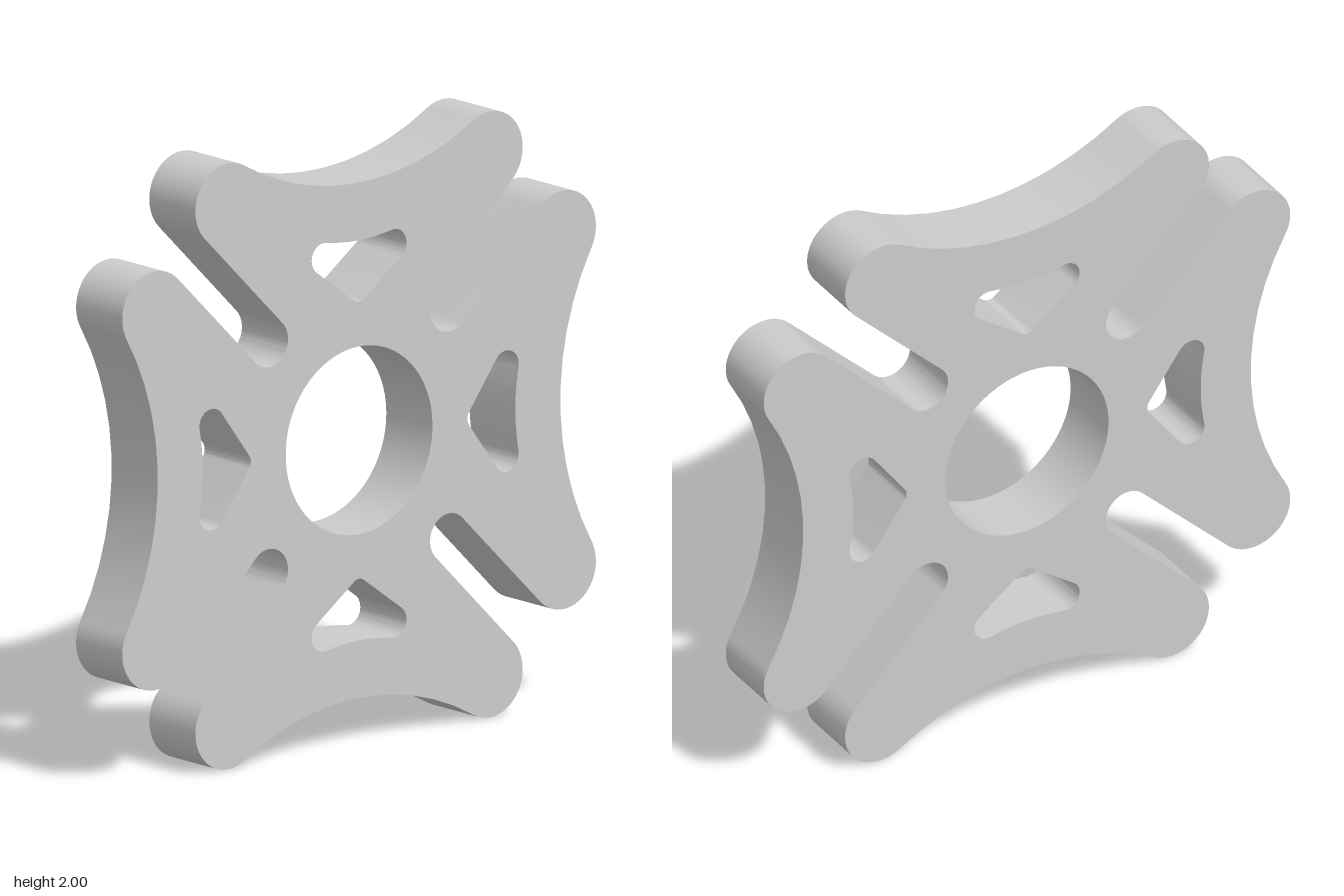
import * as THREE from 'three';
import { toCreasedNormals } from 'three/addons/utils/BufferGeometryUtils.js';

const DEPTH = 0.228;
const Q = Math.PI / 4;

// Joins arcs [cx, cy, radius, startAngle, endAngle] into one list of points, each turned by `turn`.
function arcPath(arcs, turn, points = []) {
  for (const [cx, cy, r, a0, a1] of arcs) {
    const n = Math.max(6, Math.ceil(Math.abs(a1 - a0) / 0.1));
    for (let i = 0; i <= n; i++) {
      const a = a0 + (a1 - a0) * i / n;
      const p = new THREE.Vector2(cx + r * Math.cos(a), cy + r * Math.sin(a))
        .rotateAround(new THREE.Vector2(), turn);
      const last = points[points.length - 1];
      if (!last || last.distanceTo(p) > 1e-4) points.push(p);
    }
  }
  return points;
}

// Height of the centre of a concave arc, with its lowest point at `mid`, tangent to a lobe circle.
function concaveCentre(x, y, r, mid) {
  const k = mid - r;
  return (x * x + y * y - k * k) / (2 * (y - k));
}

// One arm: right lobe, hollow outer edge, left lobe, then the inner end of the diagonal slot.
function armArcs() {
  const x = 0.553, y = 0.862, r = 0.138, mid = 0.85, slot = 0.38, slotR = 0.08;
  const c = concaveCentre(x, y, r, mid);
  const t = Math.atan2(c - y, -x);
  return [
    [x, y, r, -Q, t],
    [0, c, c - mid, t - Math.PI, -t],
    [-x, y, r, Math.PI - t, 5 * Q],
    [-slot, slot, slotR, Q, -3 * Q],
  ];
}

// Rounded triangular window with a slightly hollow outer edge.
function windowArcs() {
  const x = 0.148, y = 0.622, r = 0.052, mid = 0.66, tipY = 0.492, tipR = 0.035;
  const c = concaveCentre(x, y, r, mid);
  const t = Math.atan2(c - y, -x);
  const side = Math.atan2(y - tipY, x) - Math.acos((tipR - r) / Math.hypot(x, y - tipY));
  return [
    [x, y, r, side, t],
    [0, c, c - mid, t - Math.PI, -t],
    [-x, y, r, Math.PI - t, Math.PI - side],
    [0, tipY, tipR, -Math.PI - side, side],
  ];
}

export function createModel() {
  const group = new THREE.Group();
  group.name = 'slottedPlate';

  // Four arms make the outline; each holds one window
  const outline = [];
  const holes = [];
  for (let i = 0; i < 4; i++) {
    arcPath(armArcs(), i * Math.PI / 2, outline);
    holes.push(arcPath(windowArcs(), i * Math.PI / 2));
  }
  if (outline[0].distanceTo(outline[outline.length - 1]) < 1e-4) outline.pop();

  // Central bore
  holes.push(arcPath([[0, 0, 0.31, 0, 2 * Math.PI]], 0));

  const shape = new THREE.Shape(outline);
  for (const h of holes) {
    if (h[0].distanceTo(h[h.length - 1]) < 1e-4) h.pop();
    shape.holes.push(new THREE.Path(h));
  }

  const geometry = new THREE.ExtrudeGeometry(shape, { depth: DEPTH, bevelEnabled: false });
  geometry.translate(0, 1, -DEPTH / 2);
  const plate = new THREE.Mesh(
    toCreasedNormals(geometry, 0.6),
    new THREE.MeshStandardMaterial({ color: 0xcccccc })
  );
  plate.name = 'plate';
  group.add(plate);
  return group;
}
